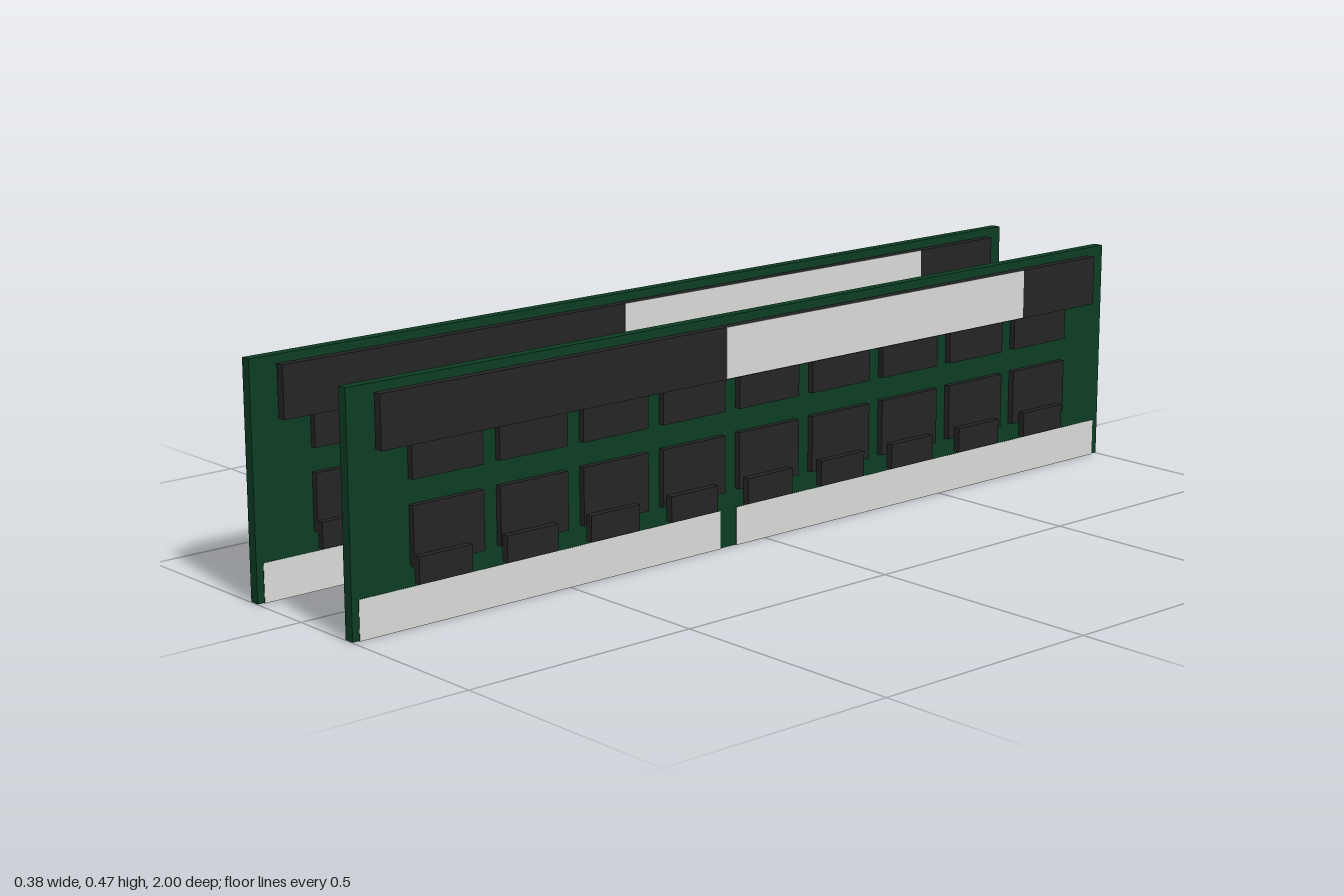
import * as THREE from 'three';

const material = (name, color) => {
  const m = new THREE.MeshStandardMaterial({ color });
  m.name = name;
  return m;
};

export function createModel() {
  const green = material('boardGreen', 0x0d3d23);
  const dark = material('chipBlack', 0x242424);
  const white = material('paleGrey', 0xd8d8d6);
  const gold = material('amber', 0xa87a28);

  // Box given by its limits on each axis
  const block = (parent, name, mat, [x0, x1], [y0, y1], [z0, z1]) => {
    const mesh = new THREE.Mesh(new THREE.BoxGeometry(x1 - x0, y1 - y0, z1 - z0), mat);
    mesh.position.set((x0 + x1) / 2, (y0 + y1) / 2, (z0 + z1) / 2);
    mesh.name = name;
    parent.add(mesh);
  };
  // The same block on both faces of the board
  const bothSides = (parent, name, mat, [a, b], y, z) => {
    block(parent, name + 'Left', mat, [a, b], y, z);
    block(parent, name + 'Right', mat, [-b, -a], y, z);
  };

  const createStick = () => {
    const stick = new THREE.Group();
    block(stick, 'circuitBoard', green, [-0.0107, 0.0107], [0.001, 0.467], [-1, 1]);

    // Edge contacts: pale faces and underside, green ends, split by the key gap
    const contactMaterials = [white, white, green, white, green, green];
    for (const z of [[0.12, 0.985], [-0.985, 0.077]])
      block(stick, 'edgeContacts', contactMaterials, [-0.0118, 0.0118], [0, 0.078], z);

    // Two rows of nine memory chips, with a small raised block below each column
    for (let i = 0; i < 9; i++) {
      const z = 0.79 - i * 0.1975;
      const span = [z - 0.08, z + 0.08];
      bothSides(stick, 'lowerChip', dark, [0.01, 0.0238], [0.117, 0.232], span);
      bothSides(stick, 'upperChip', dark, [0.01, 0.0238], [0.28, 0.398], span);
      const s = 0.81 - i * 0.2;
      bothSides(stick, 'smallBlock', dark, [0.0235, 0.0385], [0.088, 0.14], [s - 0.06, s + 0.06]);
    }

    // Long bars along the top, with a pale panel on one face and an amber one on the other
    bothSides(stick, 'topBar', dark, [0.0185, 0.037], [0.348, 0.452], [-0.945, 0.945]);
    block(stick, 'palePanel', white, [0.036, 0.0378], [0.35, 0.452], [-0.72, 0.127]);
    block(stick, 'amberPanel', gold, [-0.0382, -0.036], [0.352, 0.446], [0.49, 0.8]);
    return stick;
  };

  const model = new THREE.Group();
  model.name = 'memoryModules';
  for (const x of [-0.151, 0.151]) {
    const stick = createStick();
    stick.name = x > 0 ? 'leftModule' : 'rightModule';
    stick.position.x = x;
    model.add(stick);
  }
  return model;
}
